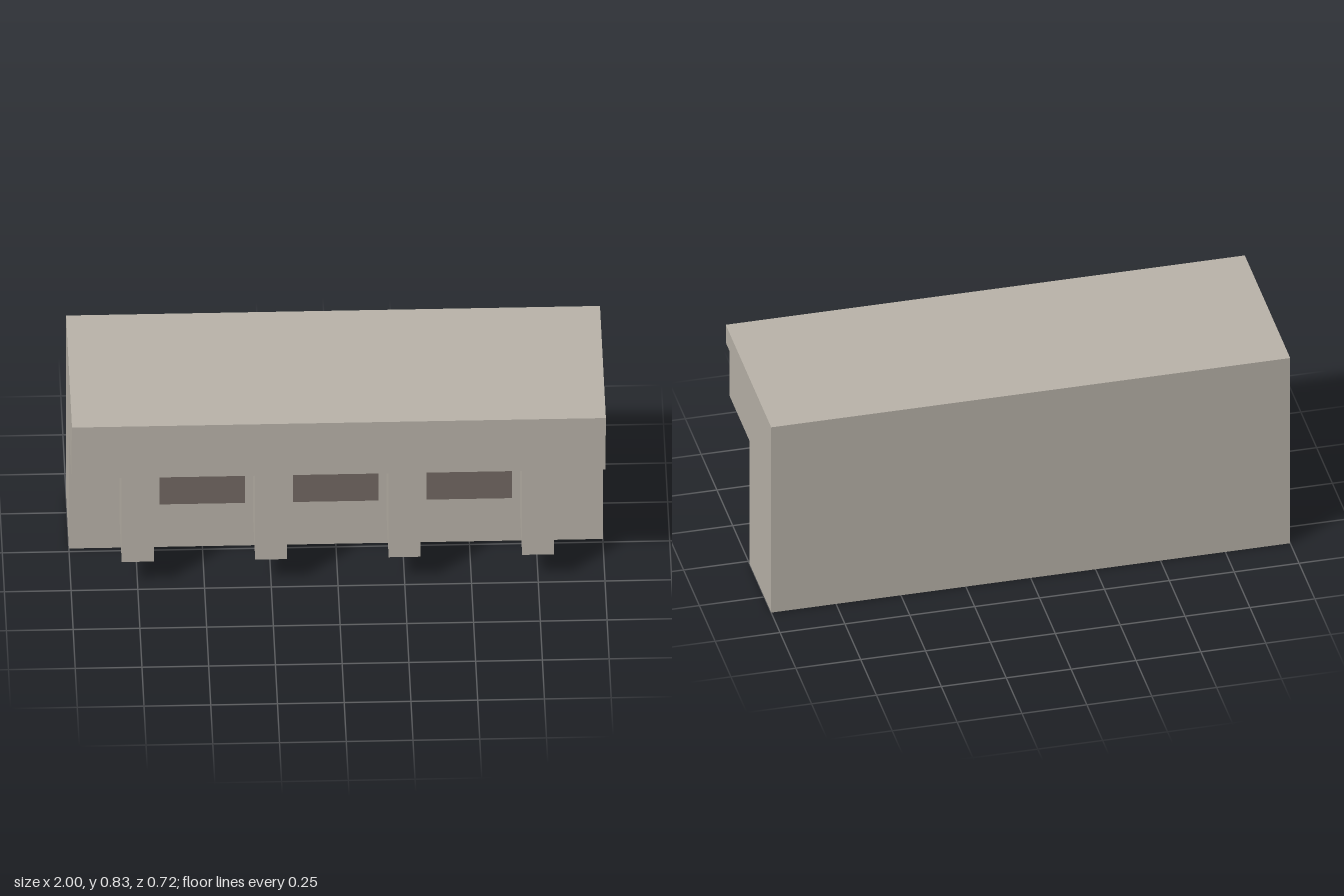
import * as THREE from 'three';

export function createModel() {
  const group = new THREE.Group();
  const stone = new THREE.MeshStandardMaterial({ color: 0xbab4aa });
  stone.name = 'pale stone';
  const dark = new THREE.MeshStandardMaterial({ color: 0x736863 });
  dark.name = 'dark opening';

  function addBox(name, material, size, position) {
    const mesh = new THREE.Mesh(new THREE.BoxGeometry(...size), material);
    mesh.name = name;
    mesh.position.set(...position);
    group.add(mesh);
  }

  // Wall, overhanging parapet and coping: one side profile (z, y) run along x
  const profile = new THREE.Shape([
    [-0.36, 0], [-0.02, 0], [-0.02, 0.55], [0.3, 0.55],
    [0.3, 0.75], [0.36, 0.75], [0.36, 0.83], [-0.36, 0.83],
  ].map(([z, y]) => new THREE.Vector2(z, y)));
  const wallGeometry = new THREE.ExtrudeGeometry(profile, { depth: 2, bevelEnabled: false });
  wallGeometry.translate(0, 0, -1).rotateY(-Math.PI / 2);
  const wall = new THREE.Mesh(wallGeometry, stone);
  wall.name = 'wallAndParapet';
  group.add(wall);

  // Corbels under the overhang
  for (const x of [-0.75, -0.25, 0.25, 0.75]) {
    addBox('corbel', stone, [0.12, 0.43, 0.26], [x, 0.335, 0.11]);
  }

  // Dark openings between the corbels
  for (const x of [-0.5, 0, 0.5]) {
    addBox('opening', dark, [0.32, 0.2, 0.008], [x, 0.3, -0.018]);
  }

  return group;
}
